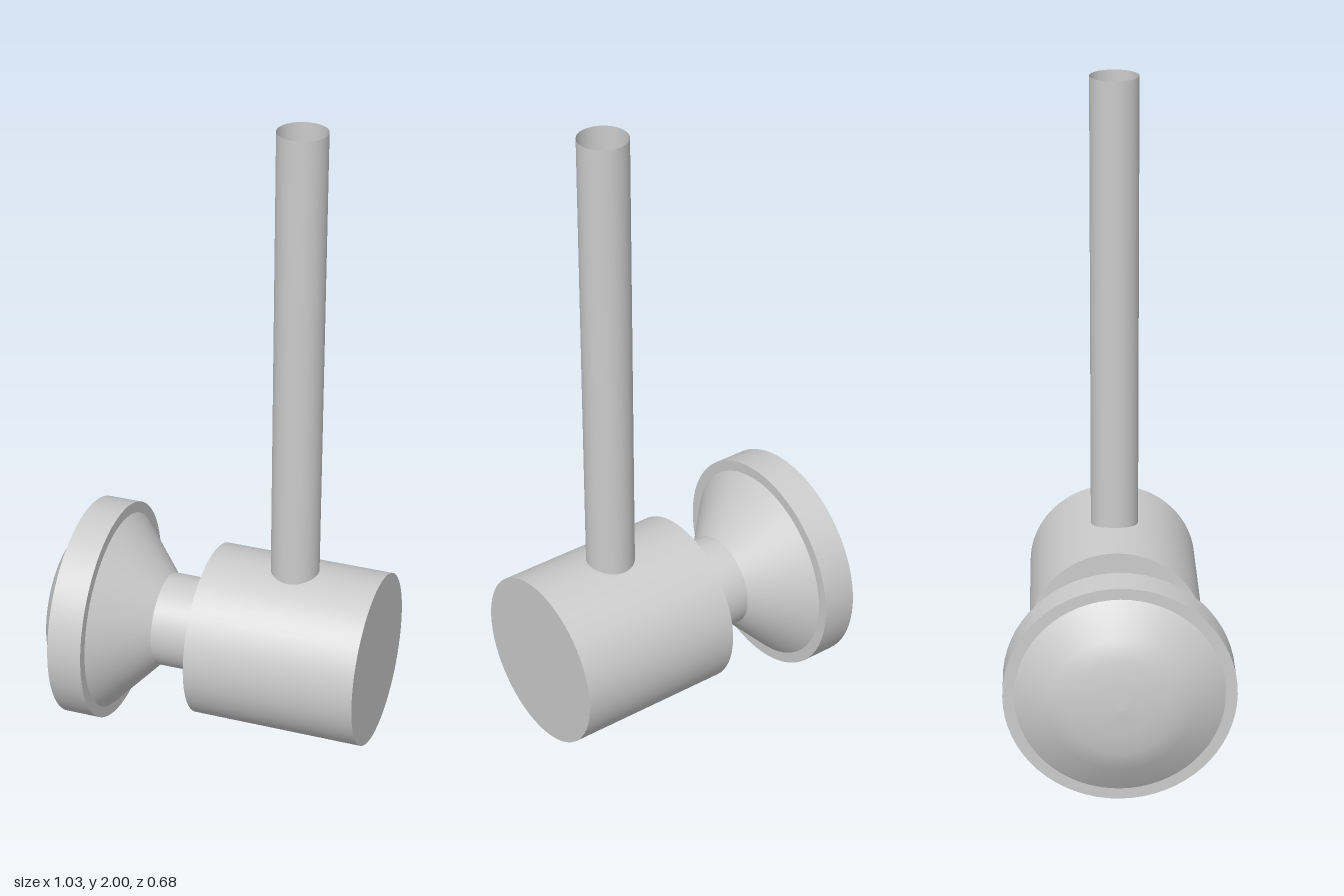
import * as THREE from 'three';

const SEG = 64;
const AXIS_Y = 0.34;

export function createModel() {
  const group = new THREE.Group();
  const grey = new THREE.MeshStandardMaterial({ color: 0xcccccc });
  const thin = new THREE.MeshStandardMaterial({ color: 0xcccccc, side: THREE.DoubleSide });

  function add(name, geometry, material, x, y) {
    const mesh = new THREE.Mesh(geometry, material);
    mesh.name = name;
    mesh.position.set(x, y, 0);
    group.add(mesh);
  }

  // Round part lying along x, from x0 (radius r0) to x1 (radius r1)
  function turned(name, x0, x1, r0, r1 = r0) {
    const geometry = new THREE.CylinderGeometry(r1, r0, x1 - x0, SEG);
    geometry.rotateZ(-Math.PI / 2);
    add(name, geometry, grey, (x0 + x1) / 2, AXIS_Y);
  }

  // Barrel, neck and flared disc
  turned('body', -0.014, 0.512, 0.264);
  turned('neck', -0.165, -0.014, 0.144);
  turned('flare', -0.313, -0.163, 0.306, 0.144);
  turned('rim', -0.42, -0.313, 0.34);

  // Shallow domed face, bulging toward -x
  const profile = [[0, -0.514], [0.08, -0.51], [0.15, -0.5], [0.208, -0.48], [0.306, -0.42]];
  const dome = new THREE.LatheGeometry(profile.map(([r, h]) => new THREE.Vector2(r, h)), SEG);
  dome.rotateZ(-Math.PI / 2);
  add('dome', dome, grey, 0, AXIS_Y);

  // Upright open tube rising from the barrel
  const tube = new THREE.CylinderGeometry(0.073, 0.073, 1.41, 48, 1, true);
  add('stem', tube, thin, 0.248, 0.59 + 1.41 / 2);

  return group;
}
